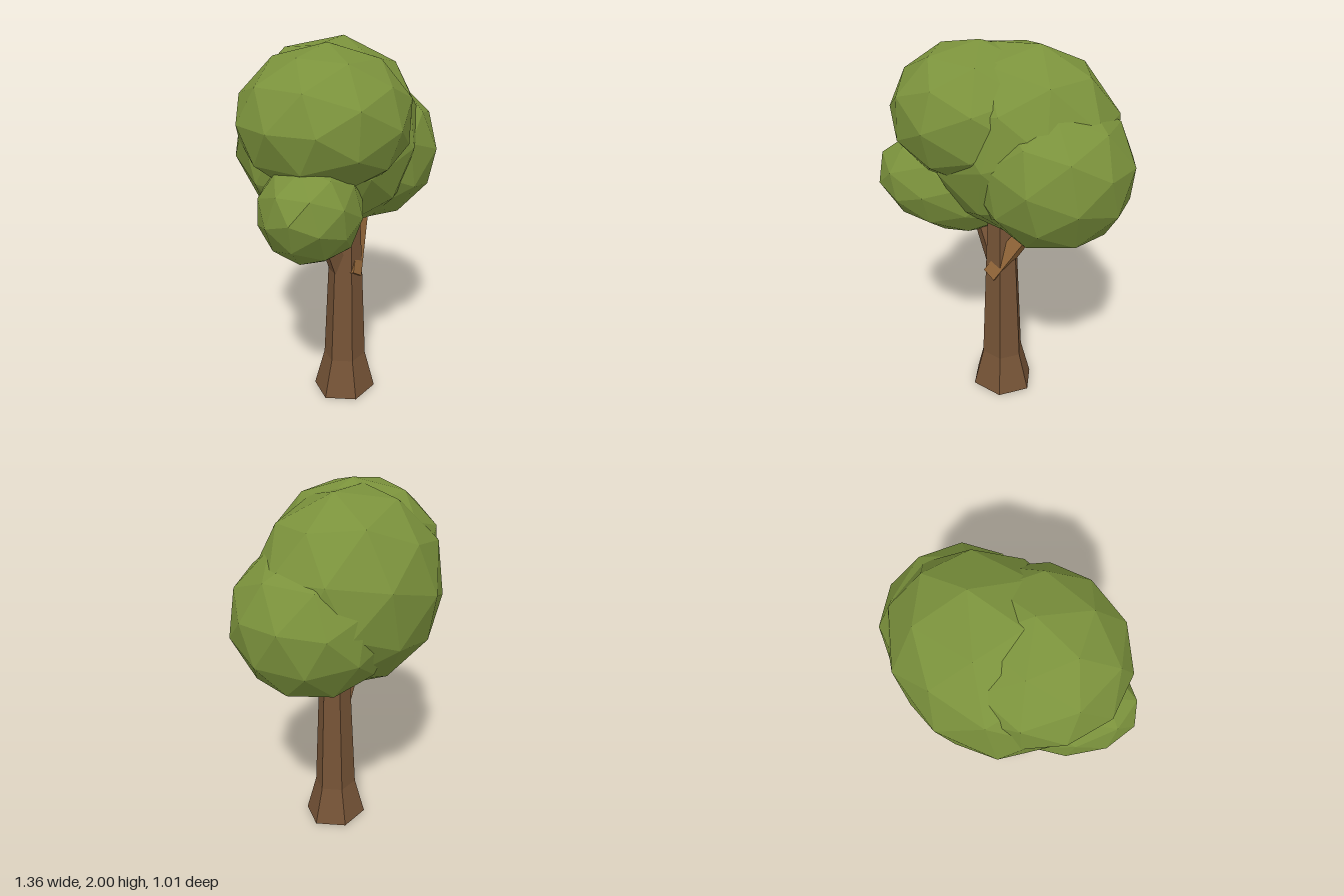
import * as THREE from 'three';

const material = (name, color, flatShading = true) => {
  const m = new THREE.MeshStandardMaterial({ color, flatShading });
  m.name = name;
  return m;
};

export function createModel() {
  const leaf = material('leaf green', 0x7b923c);
  const bark = material('bark brown', 0x755336);
  const branchWood = material('light branch brown', 0x95683a);

  const tree = new THREE.Group();
  tree.name = 'tree';

  const add = (name, geometry, mat) => {
    const mesh = new THREE.Mesh(geometry, mat);
    mesh.name = name;
    tree.add(mesh);
    return mesh;
  };

  // Six-sided trunk with a flared foot: [radius, height]
  const profile = [[0, 0], [0.186, 0], [0.125, 0.22], [0.1, 0.75], [0.08, 1.15], [0, 1.15]]
    .map(([r, y]) => new THREE.Vector2(r, y));
  const trunk = add('trunk', new THREE.LatheGeometry(profile, 6, Math.PI / 2), bark);
  trunk.scale.z = 0.92;
  trunk.position.set(-0.005, 0, 0.083);

  // Square branches reaching from the trunk into the crown
  const up = new THREE.Vector3(0, 1, 0);
  const addBranch = (name, from, to, r, twist, mat) => {
    const a = new THREE.Vector3(...from), b = new THREE.Vector3(...to);
    const geometry = new THREE.CylinderGeometry(r * 0.9, r, a.distanceTo(b), 4);
    geometry.rotateY(twist);
    const branch = add(name, geometry, mat);
    branch.position.copy(a).add(b).multiplyScalar(0.5);
    branch.quaternion.setFromUnitVectors(up, b.sub(a).normalize());
  };
  addBranch('leftBranch', [-0.025, 0.745, 0.138], [0.22, 1.15, 0.03], 0.058, 0.8, branchWood);
  addBranch('rightBranch', [-0.05, 0.77, 0.07], [-0.2, 1.12, 0.06], 0.058, 0.3, bark);

  // Faceted ellipsoid leaf masses: the local x axis points along the given axis
  const xAxis = new THREE.Vector3(1, 0, 0);
  const addLeaves = (name, center, radii, spin, tilt, axis = [1, 0, 0]) => {
    const geometry = new THREE.IcosahedronGeometry(1, 1);
    geometry.rotateY(spin).rotateZ(tilt);
    geometry.scale(...radii);
    const mesh = add(name, geometry, leaf);
    mesh.position.set(...center);
    mesh.quaternion.setFromUnitVectors(xAxis, new THREE.Vector3(...axis).normalize());
  };
  addLeaves('centreLeaves', [0.025, 1.495, -0.045], [0.55, 0.515, 0.465], 0.2, -0.22);
  addLeaves('leftLeaves', [0.265, 1.385, 0], [0.42, 0.405, 0.42], 0.3, 0.2);
  addLeaves('topLeaves', [-0.17, 1.632, 0.07], [0.465, 0.37, 0.44], 0.04, -0.05);
  addLeaves('rightLeaves', [-0.34, 1.208, 0.11], [0.405, 0.27, 0.27], 0.2, 0.12, [-0.75, 0.28, 0.55]);

  return tree;
}
